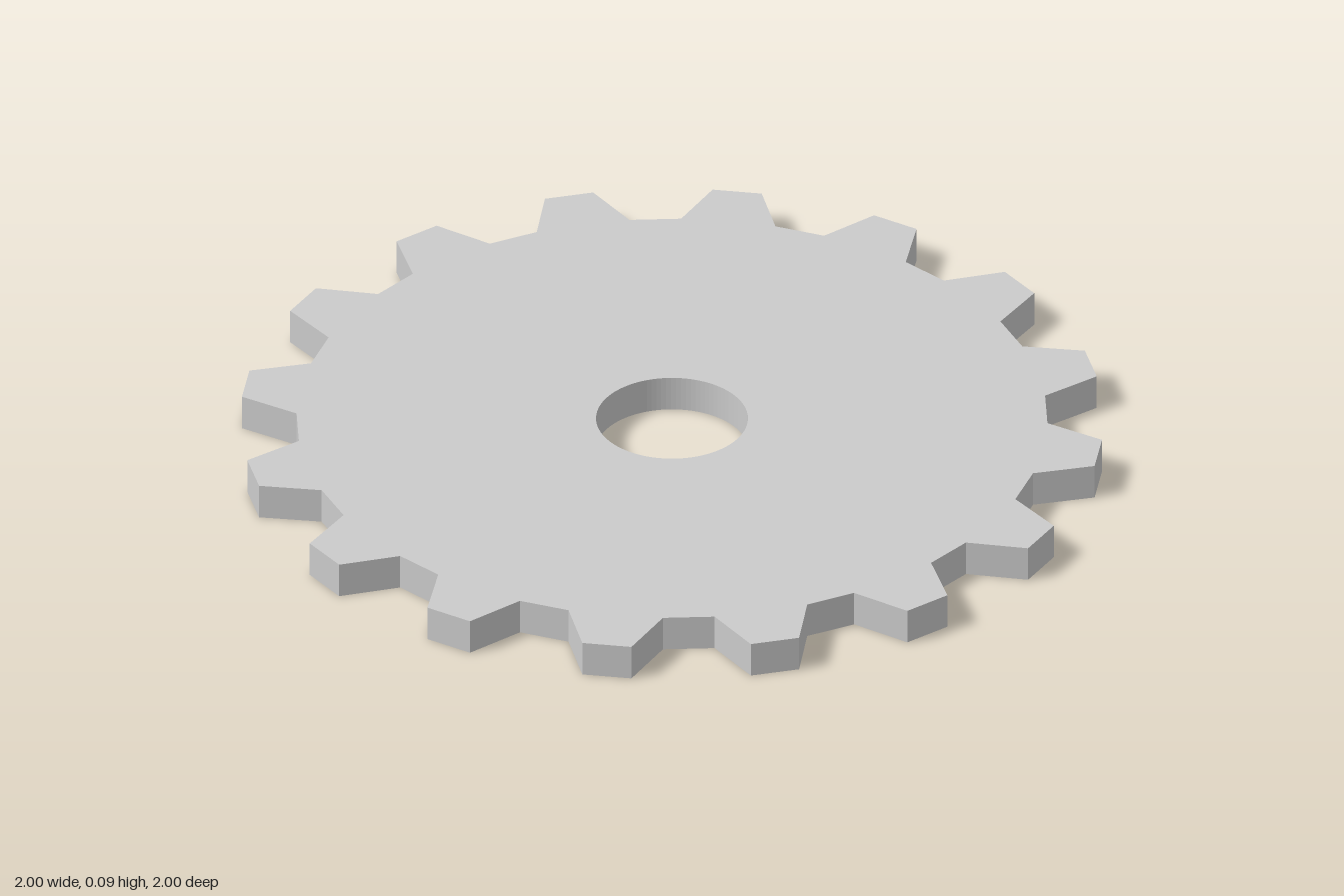
import * as THREE from 'three';

const TEETH = 16;
const TIP_RADIUS = 1.0008;
const ROOT_RADIUS = 0.87;
const BORE_RADIUS = 0.176;
const THICKNESS = 0.086;

// Corners of one tooth and the gap after it: [radius, angle in degrees]
const TOOTH = [
  [TIP_RADIUS, 2.3],
  [TIP_RADIUS, 8.9],
  [ROOT_RADIUS, 12.9],
  [ROOT_RADIUS, 20.8],
];

function gearOutline() {
  const points = [];
  for (let i = 0; i < TEETH; i++) {
    for (const [radius, degrees] of TOOTH) {
      const angle = THREE.MathUtils.degToRad(degrees + (i * 360) / TEETH);
      points.push(new THREE.Vector2(radius * Math.cos(angle), radius * Math.sin(angle)));
    }
  }
  return new THREE.Shape(points);
}

export function createModel() {
  const group = new THREE.Group();
  group.name = 'gear';

  // Toothed disc with a round bore
  const shape = gearOutline();
  shape.holes.push(new THREE.Path().absarc(0, 0, BORE_RADIUS, 0, Math.PI * 2, true));
  const geometry = new THREE.ExtrudeGeometry(shape, {
    depth: THICKNESS,
    bevelEnabled: false,
    curveSegments: 48,
  });

  // Lay it flat on the ground
  geometry.rotateX(Math.PI / 2);
  geometry.translate(0, THICKNESS, 0);

  const disc = new THREE.Mesh(
    geometry,
    new THREE.MeshStandardMaterial({ color: 0xcccccc, flatShading: true })
  );
  disc.name = 'toothedDisc';
  group.add(disc);
  return group;
}
